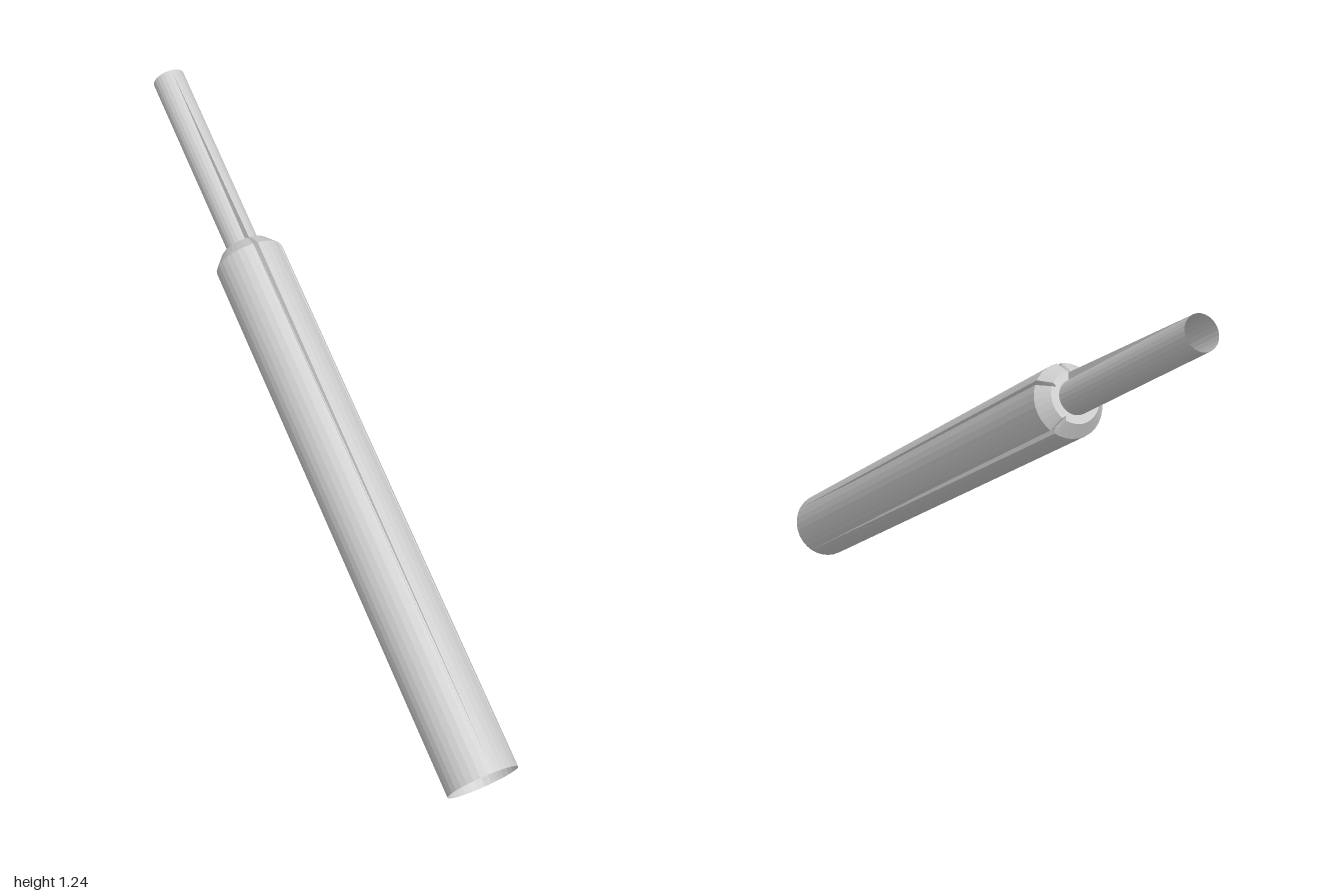
import * as THREE from 'three';

const material = new THREE.MeshStandardMaterial({
  color: 0xcccccc, flatShading: true, side: THREE.DoubleSide,
});

// Skins a run of rings along +y. Each ring is { y, r, k }; every crease
// { at, depth } shifts the radius at one angle (degrees) by depth * k.
function loft(name, rings, sides, creases, halfWidth) {
  let angles = [];
  for (let i = 0; i < sides; i++) angles.push((i * 360) / sides);
  for (const c of creases) {
    angles = angles.filter((a) => Math.abs(a - c.at) > halfWidth + 1);
    angles.push(c.at - halfWidth, c.at, c.at + halfWidth);
  }
  angles.sort((a, b) => a - b);

  const positions = [], index = [], n = angles.length;
  for (const { y, r, k } of rings) {
    for (const a of angles) {
      const crease = creases.find((c) => c.at === a);
      const radius = r + (crease ? crease.depth * k : 0);
      const t = THREE.MathUtils.degToRad(a);
      positions.push(radius * Math.cos(t), y, radius * Math.sin(t));
    }
  }
  for (let j = 0; j < rings.length - 1; j++) {
    for (let i = 0; i < n; i++) {
      const a = j * n + i, b = j * n + ((i + 1) % n);
      index.push(a, a + n, b, b, a + n, b + n);
    }
  }
  const indexed = new THREE.BufferGeometry();
  indexed.setAttribute('position', new THREE.Float32BufferAttribute(positions, 3));
  indexed.setIndex(index);
  const geometry = indexed.toNonIndexed();
  geometry.computeVertexNormals();
  const mesh = new THREE.Mesh(geometry, material);
  mesh.name = name;
  return mesh;
}

export function createModel() {
  const group = new THREE.Group();
  group.name = 'steppedTube';

  // Everything is built along local +y, with local +z becoming the upper side
  const tube = new THREE.Group();
  tube.name = 'tiltedTube';
  tube.position.set(-0.004, 0.087, 0.95);
  tube.rotation.set(-Math.PI / 3, 0, -0.003);
  group.add(tube);

  // Wide open barrel with tapering slits and a chamfered shoulder
  tube.add(loft('barrel', [
    { y: 0, r: 0.1, k: 0 },
    { y: 1.6, r: 0.1, k: 1 },
    { y: 1.636, r: 0.07, k: 0.6 },
    { y: 1.636, r: 0.046, k: 0 },
  ], 32, [
    { at: 38, depth: -0.02 },
    { at: 92, depth: -0.012 },
    { at: 315, depth: -0.02 },
  ], 4));

  // Thin open rod with a slender ridge fading out towards the tip
  tube.add(loft('rod', [
    { y: 1.6, r: 0.047, k: 1 },
    { y: 2.225, r: 0.047, k: 0 },
  ], 24, [{ at: 90, depth: 0.02 }], 7));

  return group;
}
